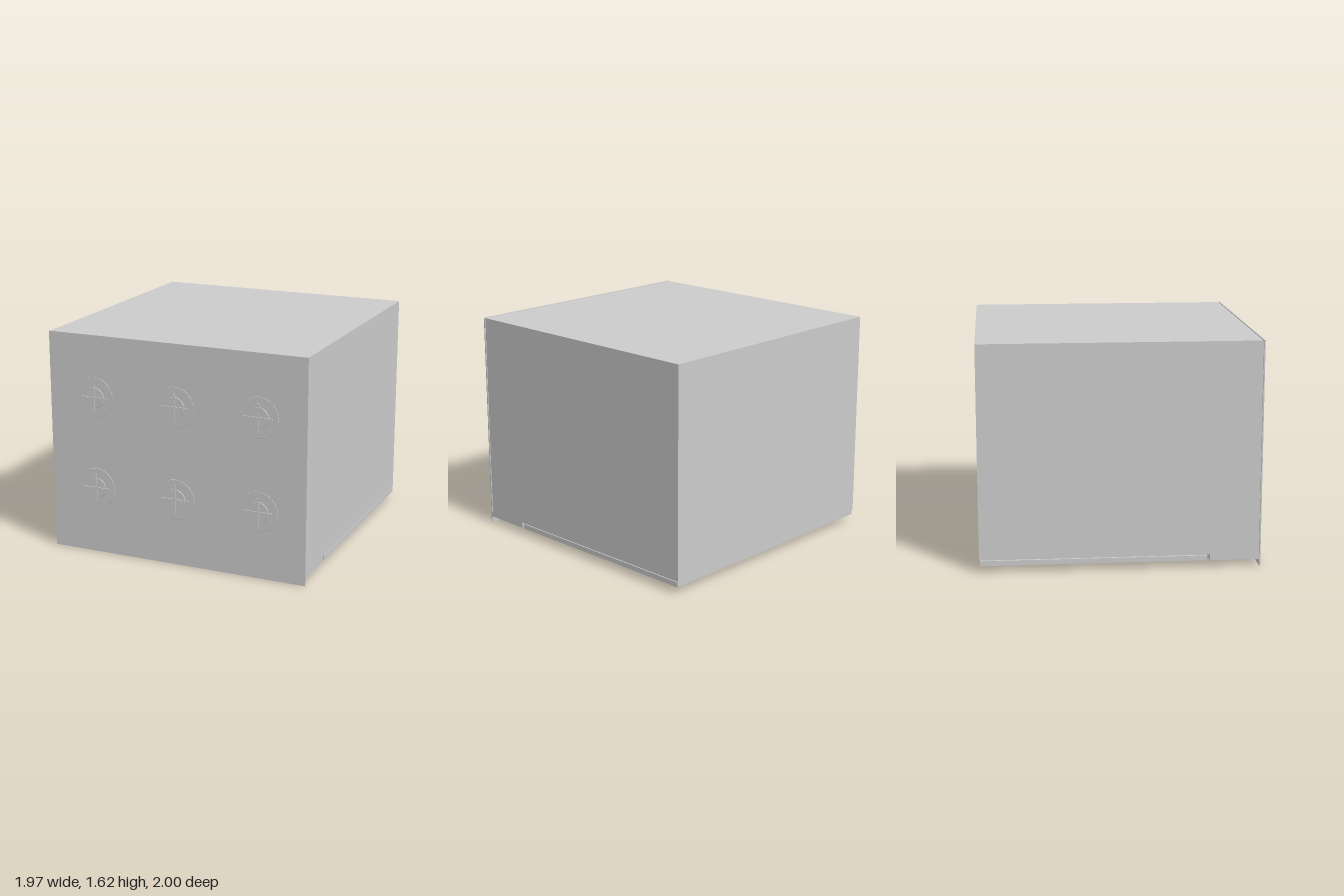
import * as THREE from 'three';

export function createModel() {
  const root = new THREE.Group();
  const mat = new THREE.MeshStandardMaterial({ color: 0xcccccc });

  const add = (parent, name, geometry, x, y, z) => {
    const mesh = new THREE.Mesh(geometry, mat);
    mesh.name = name;
    mesh.position.set(x, y, z);
    parent.add(mesh);
    return mesh;
  };
  // Box given by its limits on each axis
  const box = (parent, name, [x0, x1], [y0, y1], [z0, z1]) =>
    add(parent, name, new THREE.BoxGeometry(x1 - x0, y1 - y0, z1 - z0),
      (x0 + x1) / 2, (y0 + y1) / 2, (z0 + z1) / 2);
  // Disc facing +z
  const disc = (parent, name, r0, r1, z0, z1) =>
    add(parent, name, new THREE.CylinderGeometry(r1, r0, z1 - z0, 40).rotateX(Math.PI / 2),
      0, 0, (z0 + z1) / 2);

  // Cabinet lying on its back, with the cooktop facing forward
  box(root, 'cabinet', [-0.98, 0.98], [0.09, 1.615], [-1, 0.972]);
  box(root, 'cooktopSeam', [-0.97, 0.97], [0.09, 1.605], [0.97, 0.98]);
  box(root, 'cooktop', [-0.983, 0.983], [0, 1.617], [0.977, 0.986]);

  // Six burners, each with a base, a cap and a cross-shaped grate
  for (const y of [0.49, 1.165]) {
    for (const x of [-0.63, 0, 0.63]) {
      const burner = new THREE.Group();
      burner.name = 'burner';
      burner.position.set(x, y, 0);
      disc(burner, 'burnerBase', 0.148, 0.146, 0.985, 0.988);
      disc(burner, 'burnerCap', 0.076, 0.074, 0.987, 0.993);
      box(burner, 'grateBarAcross', [-0.105, 0.105], [-0.006, 0.006], [0.992, 1]);
      box(burner, 'grateBarUp', [-0.006, 0.006], [-0.105, 0.105], [0.992, 1]);
      root.add(burner);
    }
  }

  // Control panel and display on the underside
  box(root, 'controlPanel', [-0.98, 0.98], [0.049, 0.091], [0.625, 0.978]);
  box(root, 'display', [-0.27, 0.27], [0.046, 0.05], [0.73, 0.88]);

  // Six knobs with a rim and a grip
  for (let i = 0; i < 6; i++) {
    const x = (i - 2.5) * 0.28;
    add(root, 'knobRim', new THREE.CylinderGeometry(0.036, 0.036, 0.008, 28), x, 0.045, 0.78);
    add(root, 'knob', new THREE.CylinderGeometry(0.033, 0.03, 0.032, 28), x, 0.027, 0.78);
  }

  // Oven door with window frame, glass and rack lines
  box(root, 'ovenDoor', [-0.98, 0.98], [0.049, 0.085], [-0.993, 0.605]);
  box(root, 'doorSeam', [-0.965, 0.965], [0.08, 0.095], [-0.98, 0.6]);
  box(root, 'windowFrame', [-0.84, 0.84], [0.044, 0.05], [-0.83, 0.335]);
  box(root, 'windowGlass', [-0.69, 0.69], [0.041, 0.045], [-0.68, 0.16]);
  for (const z of [-0.5, -0.27, -0.04]) {
    box(root, 'rackLine', [-0.53, 0.53], [0.04, 0.042], [z - 0.004, z + 0.004]);
  }

  // Door handle bar on two posts
  add(root, 'handleBar', new THREE.CylinderGeometry(0.01, 0.01, 1.46, 16).rotateZ(Math.PI / 2), 0, 0.018, 0.475);
  for (const side of [-1, 1]) {
    add(root, 'handlePost', new THREE.CylinderGeometry(0.007, 0.007, 0.036, 12), side * 0.7, 0.034, 0.475);
  }

  return root;
}
